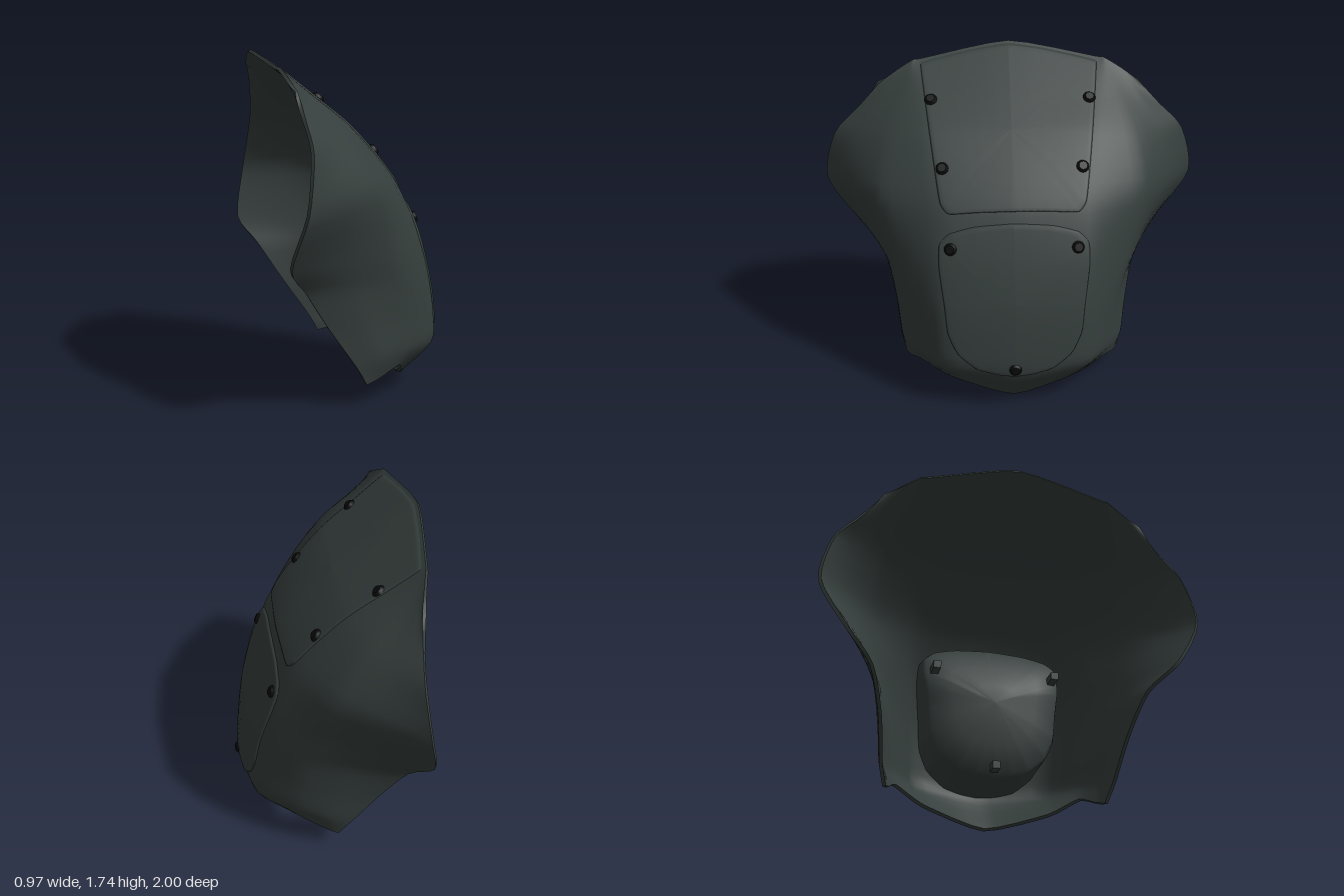
import * as THREE from 'three';

const V = (x, y, z) => new THREE.Vector3(x, y, z);

// Ribs run from the lower edge to the upper edge, as x, y, z; the last four are mirrored
const RIBS = [
  [[.30, 0, 0], [.455, .21, 0], [.45, .4, 0], [.415, .6, 0], [.335, .85, 0], [.22, 1.1, 0], [-.01, 1.36, 0], [-.21, 1.53, 0], [-.475, 1.74, 0]],
  [[.24, .085, .34], [.4, .24, .36], [.405, .4, .365], [.375, .6, .37], [.305, .85, .38], [.185, 1.1, .385], [-.035, 1.36, .41], [-.235, 1.52, .44], [-.42, 1.665, .46]],
  [[.19, .17, .5], [.22, .26, .52], [.21, .42, .535], [.195, .6, .56], [.13, .8, .62], [.055, 1.08, .68], [-.1, 1.33, .64], [-.28, 1.52, .57], [-.41, 1.66, .51]],
  [[.07, .12, .555], [.07, .24, .595], [0, .4, .62], [-.08, .6, .66], [-.16, .77, .75], [-.13, 1.05, .84], [-.22, 1.3, .8], [-.305, 1.47, .7], [-.385, 1.61, .6]],
  [[0, .1, .585], [-.06, .2, .615], [-.2, .4, .65], [-.33, .6, .72], [-.425, .74, .86], [-.37, 1.01, 1], [-.335, 1.28, .94], [-.345, 1.42, .81], [-.36, 1.55, .69]],
];
const STEPS = 4;

function toGeometry(points, index) {
  const g = new THREE.BufferGeometry().setFromPoints(points);
  g.setIndex(index);
  g.computeVertexNormals();
  return g;
}

// Grid of triangles between rows of equal length
function gridIndex(rows, cols, flip = false) {
  const index = [];
  for (let i = 0; i < rows - 1; i++) for (let j = 0; j < cols - 1; j++) {
    const a = i * cols + j, b = a + 1, c = a + cols, d = c + 1;
    index.push(...(flip ? [a, b, c, b, d, c] : [a, c, b, b, c, d]));
  }
  return index;
}

// Curved skin: smooth ribs, joined by a tighter curve across at each height
function skinGeometry() {
  const curves = RIBS.map(r => new THREE.CatmullRomCurve3(r.map(p => V(...p)), false, 'catmullrom', 0.4));
  const rows = (RIBS[0].length - 1) * STEPS + 1, points = [];
  let cols = 0;
  for (let i = 0; i < rows; i++) {
    const half = curves.map(c => c.getPoint(i / (rows - 1)));
    const mirrored = half.slice(1).reverse().map(p => V(p.x, p.y, -p.z));
    const across = new THREE.CatmullRomCurve3([...mirrored, ...half], false, 'catmullrom', 0.3).getPoints(8 * STEPS);
    cols = across.length;
    points.push(...across);
  }
  return { points, rows, cols, geometry: toGeometry(points, gridIndex(rows, cols)) };
}

// Closed panel outline from half of it, given as z, y pairs from top to bottom centre
function outline(half) {
  const other = half.slice(1, -1).reverse().map(([z, y]) => [-z, y]);
  const pts = [...half, ...other].map(([z, y]) => V(0, y, z));
  return new THREE.CatmullRomCurve3(pts, true, 'catmullrom', 0.25).getPoints(96);
}

export function createModel() {
  const group = new THREE.Group();
  const fairing = new THREE.MeshStandardMaterial({ color: 0x353e3c });
  fairing.name = 'dark grey plastic';
  const black = new THREE.MeshStandardMaterial({ color: 0x080909 });
  black.name = 'black fasteners';
  const add = (name, geometry, material = fairing) => {
    const mesh = new THREE.Mesh(geometry, material);
    mesh.name = name;
    group.add(mesh);
    return mesh;
  };

  // Outer skin, inner skin and the rim between them
  const skin = skinGeometry();
  const { rows, cols, points } = skin;
  const outer = add('outerShell', skin.geometry);
  const normals = skin.geometry.attributes.normal;
  const inside = points.map((p, i) => p.clone().addScaledVector(V().fromBufferAttribute(normals, i), -0.018));
  add('innerShell', toGeometry(inside, gridIndex(rows, cols, true)));
  const loop = [];
  for (let j = 0; j < cols; j++) loop.push(j);
  for (let i = 1; i < rows; i++) loop.push(i * cols + cols - 1);
  for (let j = cols - 2; j >= 0; j--) loop.push((rows - 1) * cols + j);
  for (let i = rows - 2; i >= 0; i--) loop.push(i * cols);
  add('shellRim', toGeometry([...loop.map(k => points[k]), ...loop.map(k => inside[k])], gridIndex(2, loop.length, true)));

  // Finds the skin in front of a given height and side position
  const ray = new THREE.Raycaster();
  const hitSkin = (y, z) => {
    ray.set(V(3, y, z), V(-1, 0, 0));
    return ray.intersectObject(outer)[0];
  };
  const skinX = (y, z) => {
    for (let k = 0; k < 12; k++) {
      const hit = hitSkin(y - k * 0.006, z * (1 - k * 0.003));
      if (hit) return hit.point.x;
    }
    return 0;
  };

  // Raised cover that follows the skin, with a stepped edge
  function cover(name, half, cy) {
    const edge = outline(half), pts = [];
    const rings = [[0, .01], [.2, .01], [.4, .01], [.6, .01], [.8, .01], [.93, .01], [.97, .01], [.985, .008], [1, -.006]];
    for (const [f, lift] of rings) for (const p of edge) {
      const y = cy + (p.y - cy) * f, z = p.z * f;
      pts.push(V(skinX(y, z) + lift, y, z));
    }
    add(name, toGeometry(pts, gridIndex(rings.length, edge.length)));
  }
  cover('upperCover', [[0, 1.73], [.2, 1.705], [.45, 1.655], [.47, 1.63], [.43, 1.4], [.39, 1.16], [.375, 1.09], [.335, 1.05], [.18, 1.06], [0, 1.065]], 1.4);
  const lower = [[0, 1.015], [.2, 1], [.33, .965], [.385, .91], [.39, .8], [.365, .6], [.35, .45], [.3, .34], [.2, .255], [.1, .225], [0, .215]];
  cover('lowerCover', lower, .62);

  // Closed housing behind the lower cover, its back sloping forward near the top
  const edge = outline(lower), housing = [];
  for (const [f, x] of [[.97, null], [.95, .12], [.92, .08], [.6, .05], [.25, .035], [0, .03]])
    for (const p of edge) {
      const y = .62 + (p.y - .62) * f, z = p.z * f;
      housing.push(V(x === null ? skinX(y, z) - .015 : x + Math.max(0, y - .72) * .4, y, z));
    }
  add('innerHousing', toGeometry(housing, gridIndex(6, edge.length)));
  for (const [y, z] of [[.8, .32], [.8, -.32], [.27, 0]]) {
    const tab = add('mountingTab', new THREE.BoxGeometry(.12, .04, .04));
    tab.position.set(.07, y, z);
  }

  // Round fasteners set square to the skin
  for (const [y, z] of [[1.505, .415], [1.505, -.415], [1.24, .36], [1.24, -.36], [.89, .325], [.89, -.325], [.265, 0]]) {
    const hit = hitSkin(y, z);
    const screw = add('screw', new THREE.CylinderGeometry(.022, .034, .016, 12), black);
    screw.quaternion.setFromUnitVectors(V(0, 1, 0), hit.face.normal);
    screw.position.copy(hit.point).addScaledVector(hit.face.normal, .015);
  }
  return group;
}
